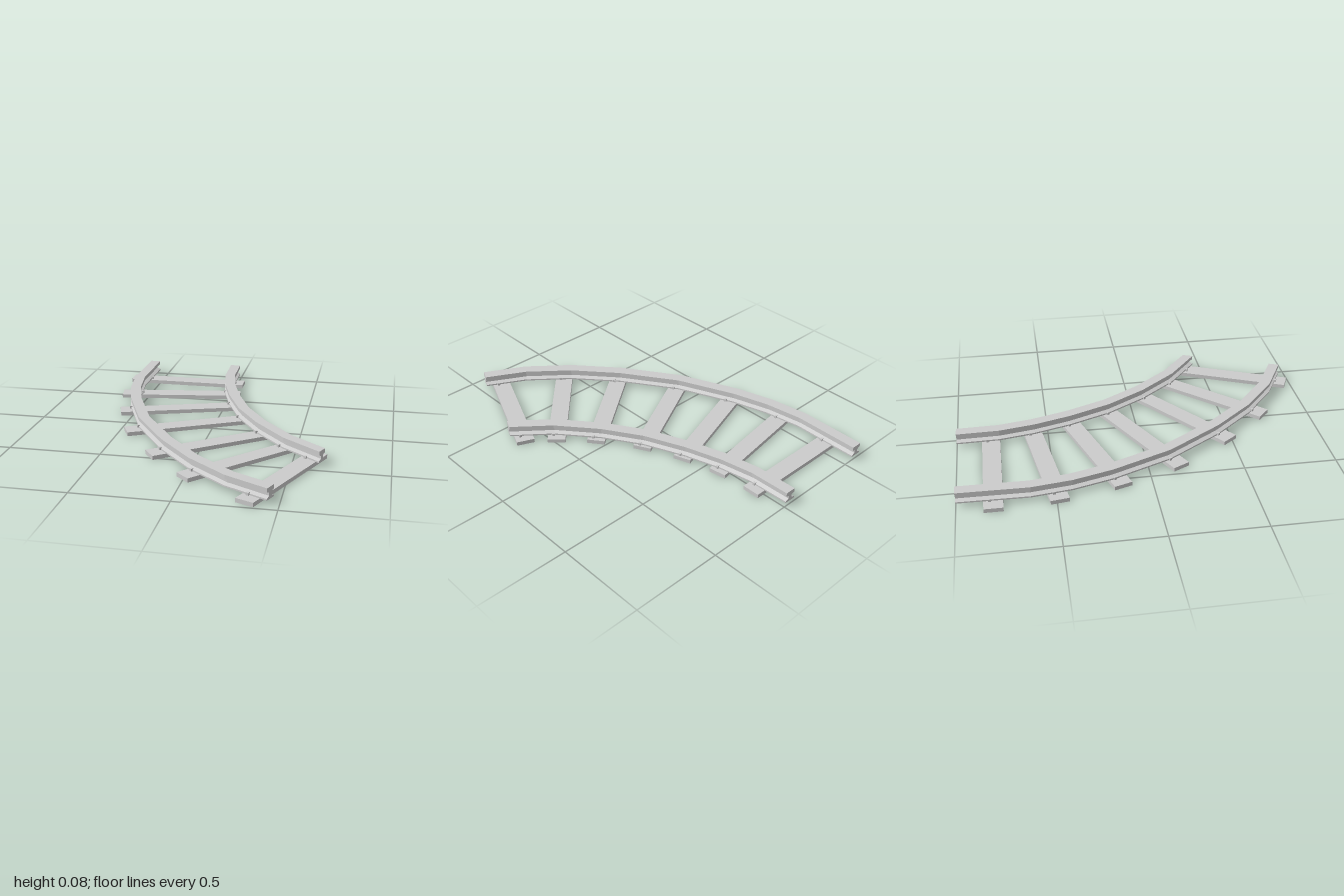
import * as THREE from 'three';

const material = new THREE.MeshStandardMaterial({ color: 0xcccccc, flatShading: true });

// Rail centre lines as [x, z]
const RAILS = {
  outerRail: [[-0.585, -1], [-0.59, -0.63], [-0.56, -0.42], [-0.5, -0.21], [-0.365, 0.11],
    [-0.165, 0.41], [0.03, 0.635], [0.24, 0.81], [0.455, 0.925]],
  innerRail: [[-0.04, -1], [-0.035, -0.77], [0, -0.58], [0.06, -0.38], [0.155, -0.15],
    [0.285, 0.06], [0.455, 0.265], [0.65, 0.425]],
};

// Sleeper ends as [x, z] pairs, outer end first
const SLEEPERS = [
  [[-0.685, -0.815], [0.045, -0.815]],
  [[-0.66, -0.485], [0.06, -0.595]],
  [[-0.58, -0.155], [0.11, -0.385]],
  [[-0.455, 0.17], [0.2, -0.17]],
  [[-0.24, 0.485], [0.345, 0.045]],
  [[-0.005, 0.74], [0.495, 0.2]],
  [[0.34, 0.97], [0.625, 0.305]],
];

// Right half of the I-shaped rail section (offset, height), bottom to top
const HALF = [[0.032, 0.022], [0.032, 0.03], [0.011, 0.039], [0.011, 0.055], [0.03, 0.062], [0.03, 0.083]];
const PROFILE = [...HALF, ...HALF.map(([u, y]) => [-u, y]).reverse()]
  .map(([u, y]) => new THREE.Vector2(u, y));

const START = new THREE.Vector2(0, 1);
const END = new THREE.Vector2(0.92, 0.39);

// Sweep the section along a flat centre line with mitred joints and closed ends
function railGeometry(points) {
  const path = points.map(([x, z]) => new THREE.Vector2(x, z));
  const last = path.length - 1;
  const rings = path.map((p, i) => {
    let t;
    if (i === 0) t = START;
    else if (i === last) t = END.clone().normalize();
    else {
      const before = p.clone().sub(path[i - 1]).normalize();
      const after = path[i + 1].clone().sub(p).normalize();
      t = before.add(after).normalize();
    }
    return PROFILE.map(({ x: u, y }) => [p.x + t.y * u, y, p.y - t.x * u]);
  });
  const out = [];
  const tri = (a, b, c) => out.push(...a, ...b, ...c);
  const n = PROFILE.length;
  for (let i = 0; i < last; i++) {
    for (let j = 0; j < n; j++) {
      const k = (j + 1) % n;
      const a = rings[i][j], b = rings[i][k], c = rings[i + 1][k], d = rings[i + 1][j];
      tri(a, b, c);
      tri(a, c, d);
    }
  }
  for (const [a, b, c] of THREE.ShapeUtils.triangulateShape(PROFILE, [])) {
    tri(rings[last][a], rings[last][b], rings[last][c]);
    tri(rings[0][a], rings[0][c], rings[0][b]);
  }
  const geometry = new THREE.BufferGeometry();
  geometry.setAttribute('position', new THREE.Float32BufferAttribute(out, 3));
  geometry.computeVertexNormals();
  return geometry;
}

// Distance along a sleeper (0 to 1) at which a rail crosses it
function crossing([a, b], rail) {
  const rx = b[0] - a[0], rz = b[1] - a[1];
  for (let i = 0; i < rail.length - 1; i++) {
    const [px, pz] = rail[i];
    const sx = rail[i + 1][0] - px, sz = rail[i + 1][1] - pz;
    const det = rx * sz - rz * sx;
    const t = ((px - a[0]) * sz - (pz - a[1]) * sx) / det;
    const s = ((px - a[0]) * rz - (pz - a[1]) * rx) / det;
    if (s >= 0 && s <= 1 && t >= 0 && t <= 1) return t;
  }
  return null;
}

function addBox(parent, name, size, position) {
  const mesh = new THREE.Mesh(new THREE.BoxGeometry(...size), material);
  mesh.name = name;
  mesh.position.set(...position);
  parent.add(mesh);
}

export function createModel() {
  const track = new THREE.Group();
  track.name = 'curvedTrack';

  for (const [name, points] of Object.entries(RAILS)) {
    const rail = new THREE.Mesh(railGeometry(points), material);
    rail.name = name;
    track.add(rail);
  }

  SLEEPERS.forEach((ends, i) => {
    const [a, b] = ends;
    const dx = b[0] - a[0], dz = b[1] - a[1];
    const length = Math.hypot(dx, dz);
    const group = new THREE.Group();
    group.name = `sleeper${i + 1}`;
    group.position.set((a[0] + b[0]) / 2, 0, (a[1] + b[1]) / 2);
    group.rotation.y = -Math.atan2(dz, dx);
    addBox(group, 'plank', [length, 0.022, 0.098], [0, 0.011, 0]);

    // Spikes holding the rail foot on both sides
    for (const rail of Object.values(RAILS)) {
      const t = crossing(ends, rail);
      if (t === null) continue;
      for (const side of [-1, 1]) {
        addBox(group, 'spike', [0.014, 0.016, 0.014], [(t - 0.5) * length + side * 0.034, 0.028, side * 0.018]);
      }
    }
    track.add(group);
  });

  return track;
}
